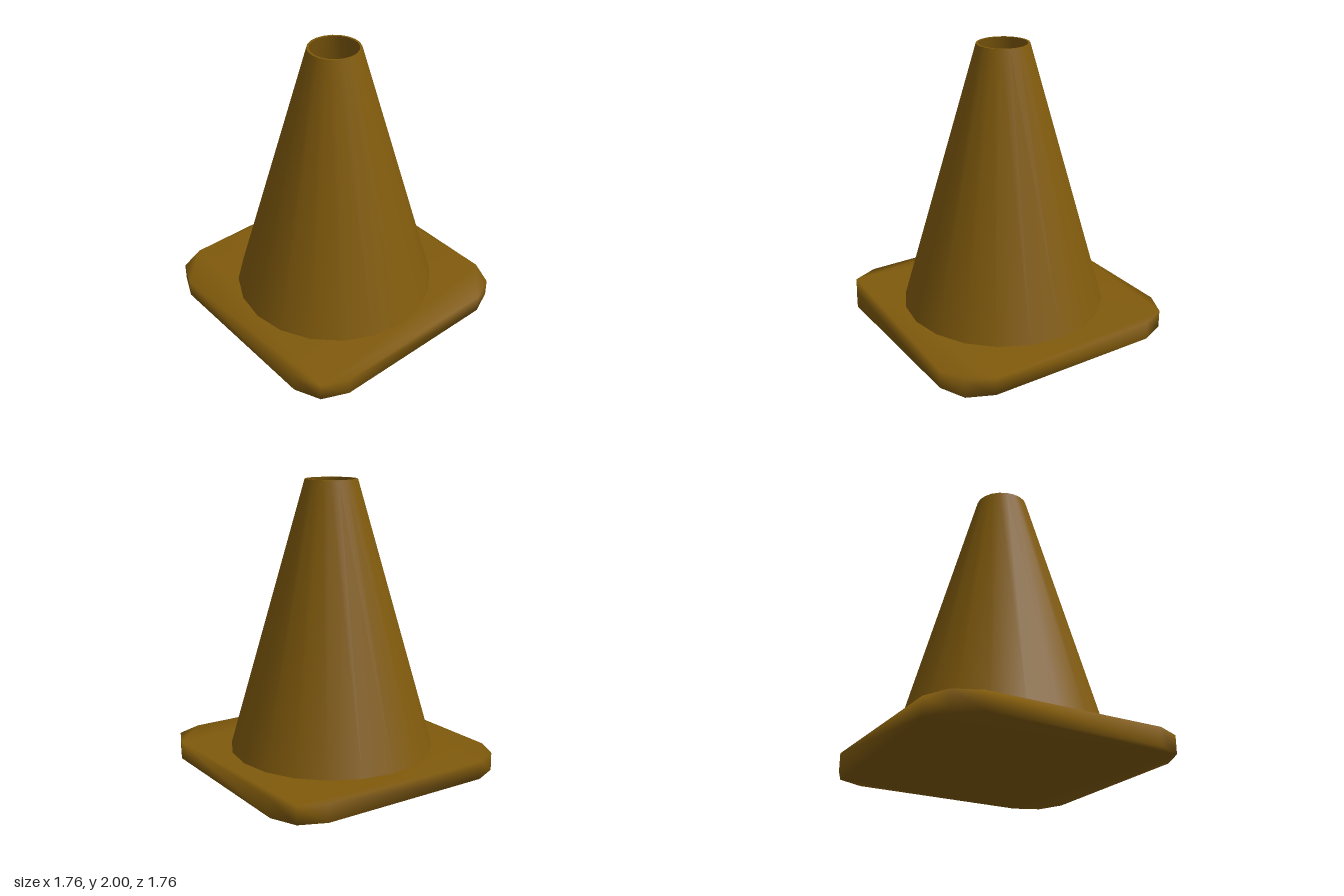
import * as THREE from 'three';
import { mergeGeometries, mergeVertices } from 'three/addons/utils/BufferGeometryUtils.js';

const BASE_TOP = 0.125;
const SIDES = 20;

export function createModel() {
  const group = new THREE.Group();
  group.name = 'trafficCone';
  const material = new THREE.MeshStandardMaterial({ color: 0x805a0c });

  // Base: square plate with two-step cut corners and soft shading over its edges
  const corner = [[0.88, 0.62], [0.8, 0.8], [0.62, 0.88]];
  const outline = [];
  for (let i = 0; i < 4; i++) {
    for (const [x, y] of corner) {
      outline.push(new THREE.Vector2(x, y).rotateAround(new THREE.Vector2(), i * Math.PI / 2));
    }
  }
  let plate = new THREE.ExtrudeGeometry(new THREE.Shape(outline), { depth: BASE_TOP, bevelEnabled: false });
  plate.rotateX(-Math.PI / 2);
  plate.deleteAttribute('uv');
  plate.deleteAttribute('normal');
  plate = mergeVertices(plate, 1e-4);
  plate.computeVertexNormals();
  const base = new THREE.Mesh(plate, material);
  base.name = 'base';
  group.add(base);

  // Cone: outer wall, narrow rim and inner wall, kept separate for crisp edges
  const profile = [[0.715, BASE_TOP], [0.18, 2], [0.165, 2], [0.7, BASE_TOP]]
    .map(([r, y]) => new THREE.Vector2(r, y));
  const bands = [0, 1, 2].map((i) => new THREE.LatheGeometry(profile.slice(i, i + 2), SIDES));
  const cone = new THREE.Mesh(mergeGeometries(bands), material);
  cone.name = 'hollowCone';
  group.add(cone);

  return group;
}
